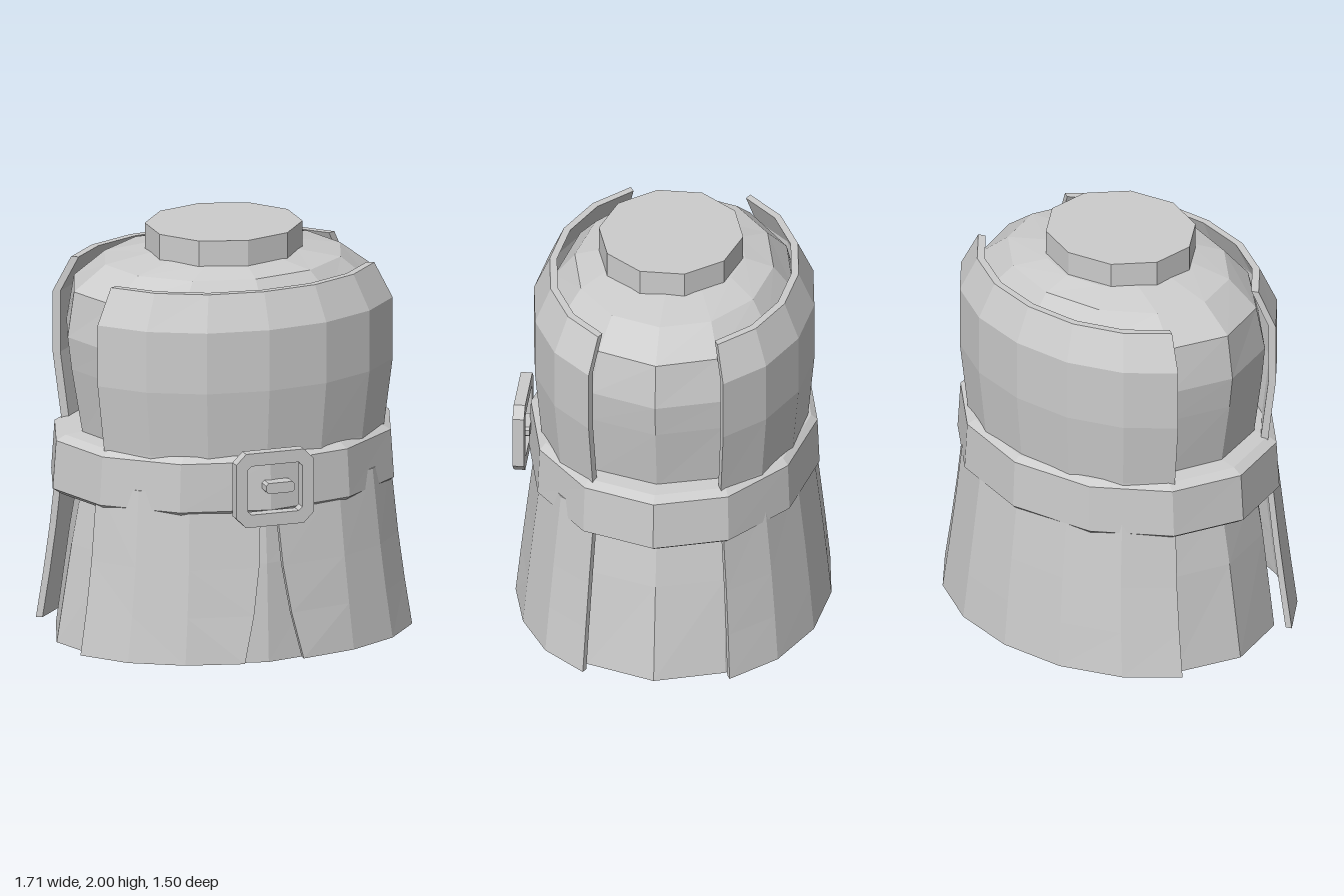
import * as THREE from 'three';

const cloth = new THREE.MeshStandardMaterial({ color: 0xcccccc, flatShading: true });
cloth.name = 'plain grey';

// Stitch equal-length loops (counterclockwise from above, rising) into a solid.
function loft(loops, { cap = true, wrap = false } = {}) {
  const pos = [];
  const quad = (a, b, c, d) => {
    for (const p of [a, b, c, a, c, d]) pos.push(...p);
  };
  const n = loops[0].length;
  const last = loops.length - 1;
  for (let r = 0; r < (wrap ? last + 1 : last); r++) {
    const lo = loops[r], hi = loops[(r + 1) % loops.length];
    for (let i = 0; i < n; i++) {
      const j = (i + 1) % n;
      quad(lo[i], lo[j], hi[j], hi[i]);
    }
  }
  if (cap) {
    const top = loops[last], base = loops[0];
    for (let i = 0; i < n / 2 - 1; i++) {
      quad(top[i], top[i + 1], top[n - 2 - i], top[n - 1 - i]);
      quad(base[n - 1 - i], base[n - 2 - i], base[i + 1], base[i]);
    }
  }
  const geo = new THREE.BufferGeometry();
  geo.setAttribute('position', new THREE.Float32BufferAttribute(pos, 3));
  geo.computeVertexNormals();
  return geo;
}

// Elliptical ring of points with one corner facing the front.
function ring(sides, y, a, b, zc = 0) {
  return Array.from({ length: sides }, (_, i) => {
    const t = (i / sides) * Math.PI * 2;
    return [a * Math.sin(t), y, zc + b * Math.cos(t)];
  });
}

// Thick curved cloth panel; rows are [y, half width, half depth, slit x].
function panel(rows, cols, thick = 0.035) {
  return loft(rows.map(([y, a, b, slit]) => {
    const edge = (inset) => cols.map(([u, w], i) => [
      slit !== undefined && i === 0 ? slit : u * (a - inset), y, w * (b - inset)]);
    return [...edge(0), ...edge(thick).reverse()];
  }));
}

// Mirror a geometry across x, restoring the face order.
function mirrorX(geo) {
  const src = geo.attributes.position;
  const pos = [];
  for (let i = 0; i < src.count; i += 3) {
    for (const k of [i, i + 2, i + 1]) pos.push(-src.getX(k), src.getY(k), src.getZ(k));
  }
  const out = new THREE.BufferGeometry();
  out.setAttribute('position', new THREE.Float32BufferAttribute(pos, 3));
  out.computeVertexNormals();
  return out;
}

// Rectangle with cut corners, as a shape or a hole path.
function cutRect(path, w, h, c, cx, cy) {
  const pts = [[w - c, -h], [w, c - h], [w, h - c], [w - c, h], [c - w, h], [-w, h - c], [-w, c - h], [c - w, -h]];
  path.setFromPoints(pts.map(([x, y]) => new THREE.Vector2(cx + x, cy + y)));
  path.closePath();
  return path;
}

export function createModel() {
  const model = new THREE.Group();
  model.name = 'beltedTunic';
  const add = (name, geo) => {
    const mesh = new THREE.Mesh(geo, cloth);
    mesh.name = name;
    model.add(mesh);
    return mesh;
  };

  // Torso and inner skirt
  const bodyRows = [
    [0, 0.835, 0.66], [0.48, 0.76, 0.635], [0.75, 0.71, 0.61], [1.02, 0.705, 0.61], [1.34, 0.76, 0.625],
    [1.5, 0.78, 0.63], [1.72, 0.748, 0.57], [1.84, 0.59, 0.475], [1.88, 0.36, 0.34],
  ];
  add('body', loft(bodyRows.map(([y, a, b]) => ring(12, y, a, b))));

  // Neck stub
  add('neck', loft([1.85, 2].map((y) => ring(10, y, 0.378, 0.345, 0.015))));

  // Chest and back plates of cloth
  const arc = [[-0.94, 0.48], [-0.71, 0.755], [-0.38, 0.94], [0, 1], [0.38, 0.94], [0.71, 0.755], [0.94, 0.48]];
  const upper = [[0.85, 0.74, 0.63], [1.02, 0.75, 0.64], [1.34, 0.79, 0.67], [1.64, 0.79, 0.67], [1.81, 0.705, 0.595]];
  add('chestPanel', panel(upper, arc));
  add('backPanel', panel(upper, arc)).rotation.y = Math.PI;

  // Skirt: one back flap and two front flaps split by a slit
  const skirt = [[0.025, 0.865, 0.752, 0.148], [0.25, 0.83, 0.73, 0.095], [0.48, 0.8, 0.705, 0.06], [0.85, 0.765, 0.66, 0.035]];
  add('backSkirt', panel(skirt.map((r) => r.slice(0, 3)), arc, 0.03)).rotation.y = Math.PI;
  const half = [[0.17, 0.985], [0.49, 0.895], [0.77, 0.715], [0.965, 0.45]];
  const leftFlap = panel(skirt, half, 0.03);
  add('leftFrontSkirt', leftFlap);
  add('rightFrontSkirt', mirrorX(leftFlap));

  // Belt with bevelled edges
  const beltRows = [
    [0.725, 0.70, 0.59], [0.73, 0.81, 0.66], [0.76, 0.855, 0.695], [0.995, 0.838, 0.685], [1.02, 0.79, 0.655], [1.03, 0.69, 0.59],
  ];
  add('belt', loft(beltRows.map(([y, a, b]) => ring(12, y, a, b)), { cap: false, wrap: true }));

  // Buckle frame and tongue
  const frame = cutRect(new THREE.Shape(), 0.195, 0.182, 0.05, 0, 0.88);
  frame.holes.push(cutRect(new THREE.Path(), 0.137, 0.12, 0.018, 0, 0.88));
  add('buckle', new THREE.ExtrudeGeometry(frame, { depth: 0.055, bevelEnabled: false })).position.z = 0.695;
  const tongue = cutRect(new THREE.Shape(), 0.072, 0.026, 0.012, 0.03, 0.88);
  add('buckleTongue', new THREE.ExtrudeGeometry(tongue, { depth: 0.065, bevelEnabled: false })).position.z = 0.68;

  return model;
}
